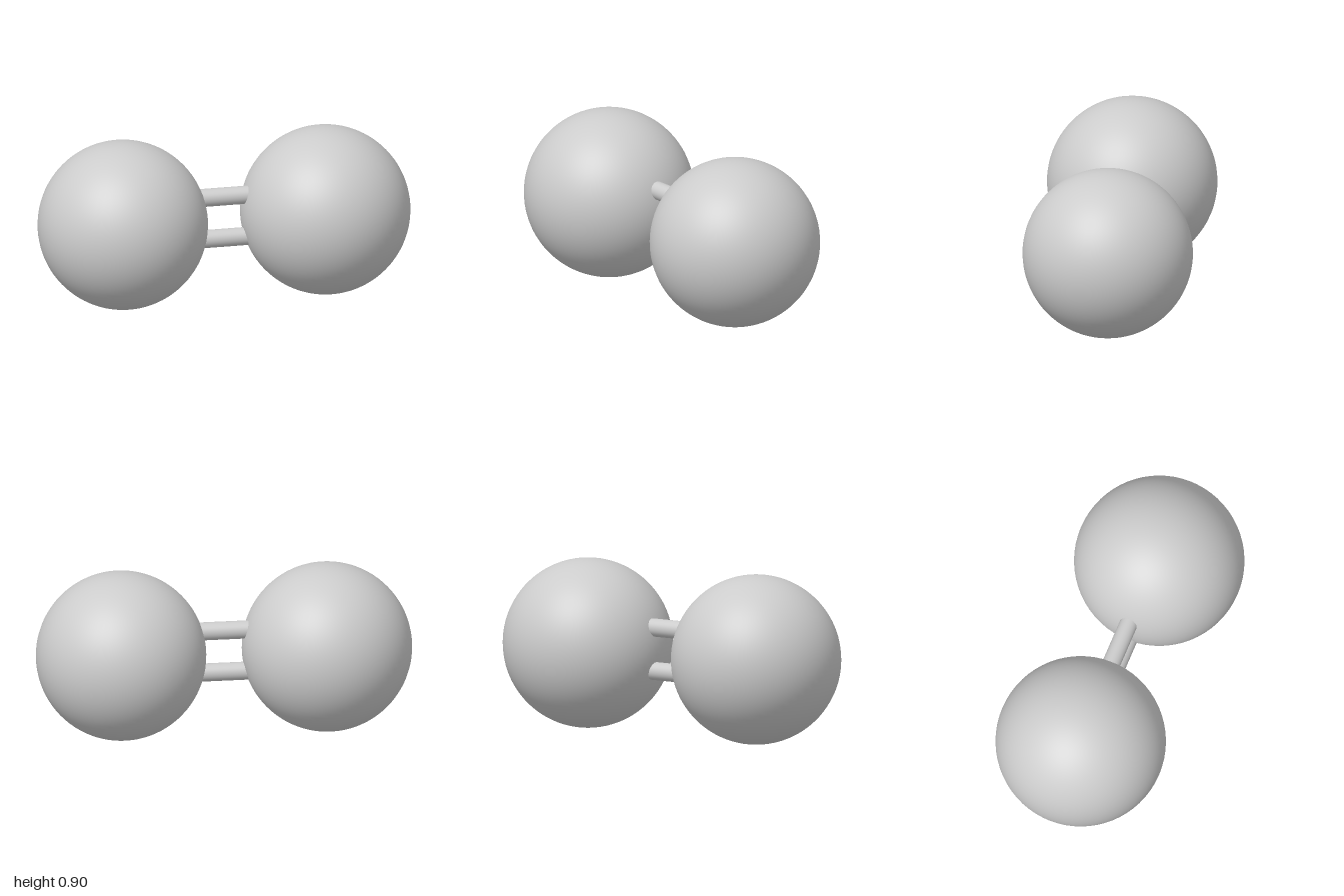
import * as THREE from 'three';

const RADIUS = 0.451;
const CENTER_X = 1 - RADIUS;
const ROD_RADIUS = 0.048;
const ROD_OFFSET = 0.116;

export function createModel() {
  const model = new THREE.Group();
  model.name = 'doubleBondedPair';
  const material = new THREE.MeshStandardMaterial({ color: 0xcccccc });

  const add = (name, geometry, x, y) => {
    const mesh = new THREE.Mesh(geometry, material);
    mesh.name = name;
    mesh.position.set(x, y, 0);
    model.add(mesh);
  };

  // Two equal balls, side by side
  const ball = new THREE.SphereGeometry(RADIUS, 64, 48);
  add('leftBall', ball, CENTER_X, RADIUS);
  add('rightBall', ball, -CENTER_X, RADIUS);

  // Two parallel rods joining them, with ends sunk into the balls
  const rod = new THREE.CylinderGeometry(ROD_RADIUS, ROD_RADIUS, 0.6, 32).rotateZ(Math.PI / 2);
  add('upperRod', rod, 0, RADIUS + ROD_OFFSET);
  add('lowerRod', rod, 0, RADIUS - ROD_OFFSET);

  return model;
}
